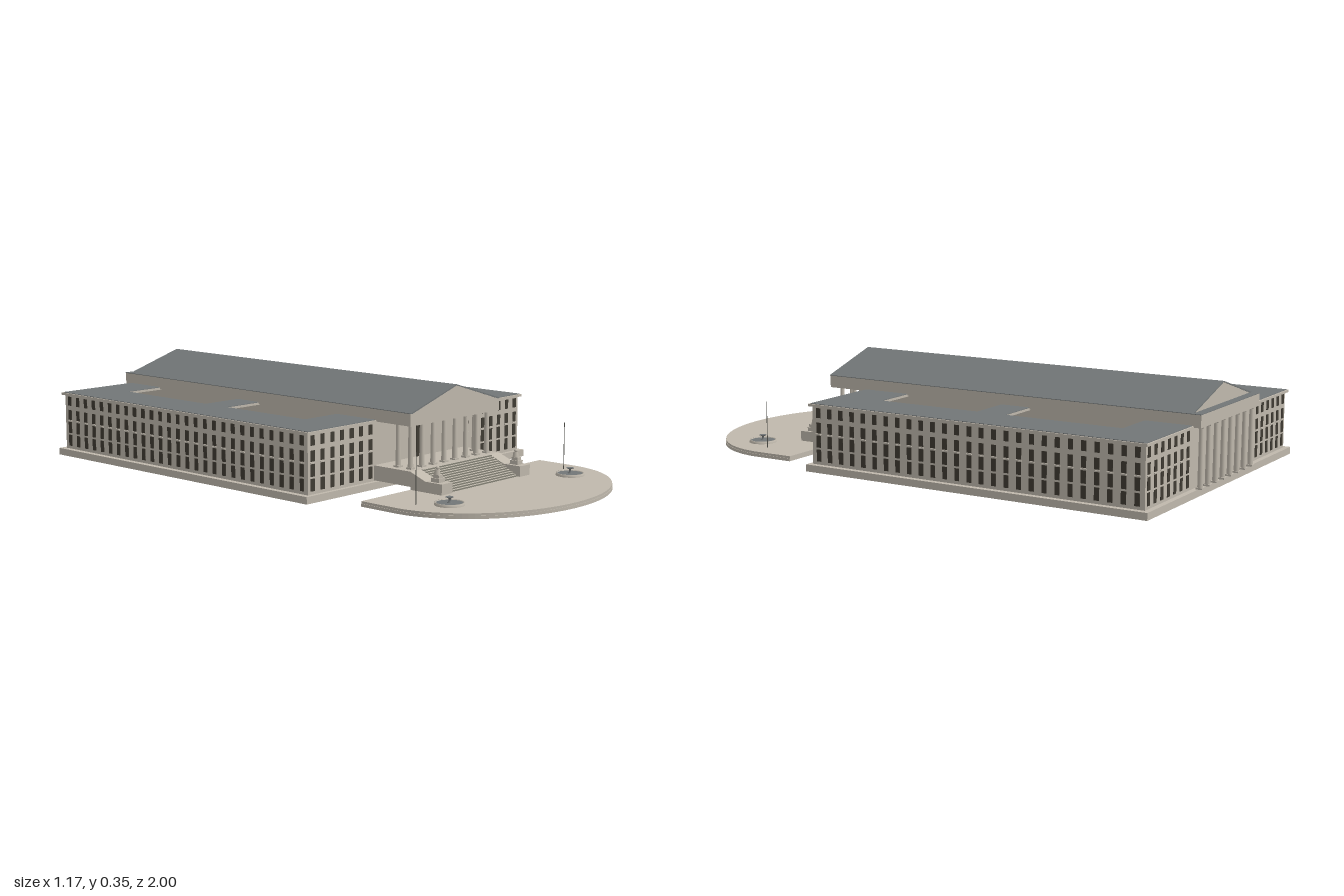
import * as THREE from 'three';
import { mergeGeometries } from 'three/addons/utils/BufferGeometryUtils.js';

const mat = (name, color) => {
  const m = new THREE.MeshStandardMaterial({ color });
  m.name = name;
  return m;
};

export function createModel() {
  const group = new THREE.Group();
  const stone = mat('limestone', 0xbfb8ac);
  const slate = mat('slateRoof', 0x727677);
  const glass = mat('darkGlass', 0x3f3b33);
  const riser = mat('stairRiser', 0x858276);
  const metal = mat('poleMetal', 0x55554f);

  const add = (name, geo, material) => {
    const m = new THREE.Mesh(geo, material);
    m.name = name;
    group.add(m);
  };
  // Box given by its limits on each axis
  const block = (x0, x1, y0, y1, z0, z1) =>
    new THREE.BoxGeometry(x1 - x0, y1 - y0, z1 - z0)
      .translate((x0 + x1) / 2, (y0 + y1) / 2, (z0 + z1) / 2);
  // Plan shape (x, -z) raised from y0 to y1
  const raise = (shape, y0, y1) =>
    new THREE.ExtrudeGeometry(shape, { depth: y1 - y0, bevelEnabled: false, curveSegments: 32 })
      .rotateX(-Math.PI / 2).translate(0, y0, 0);
  const polygon = (pts) => new THREE.Shape(pts.map((p) => new THREE.Vector2(...p)));

  // Main block: a hollow on each side, roofed except for two court openings
  const courts = [[-0.8, -0.365], [-0.255, 0.135]];
  const hollow = [[-0.95, 0.295]];
  const courtIn = 0.23, courtOut = 0.395;
  const corners = (x0, x1, z0, z1) => // counter-clockwise
    [[x0, -z1], [x1, -z1], [x1, -z0], [x0, -z0]].map((p) => new THREE.Vector2(...p));
  const plan = (grow, openings) => {
    const s = new THREE.Shape(corners(-0.562 - grow, 0.562 + grow, -0.965 - grow, 0.31 + grow));
    for (const [z0, z1] of openings) {
      s.holes.push(new THREE.Path(corners(courtIn, courtOut, z0, z1).reverse()));
      s.holes.push(new THREE.Path(corners(-courtOut, -courtIn, z0, z1).reverse()));
    }
    return s;
  };
  add('plinth', block(-0.583, 0.583, 0, 0.025, -0.984, 0.325), stone);
  add('walls', raise(plan(0, hollow), 0.025, 0.228), stone);
  add('cornice', raise(plan(0.01, courts), 0.228, 0.2365), stone);
  add('flatRoof', raise(plan(0.004, courts), 0.2365, 0.2385), slate);
  for (const s of [-1, 1]) for (const [z0, z1] of courts) {
    const x = s * (courtIn + courtOut) / 2;
    add('courtFloor', block(x - 0.082, x + 0.082, 0.025, 0.028, z0, z1), slate);
  }

  // Windows: four rows on each wall, with hoods above the third row
  const panes = [], hoods = [];
  const rows = [[0.206, 0.034], [0.154, 0.037], [0.106, 0.042], [0.057, 0.042]];
  const pitch = 0.047;
  const hoodRow = (x, z, angle, count) => {
    for (let i = 0; i < count; i++) {
      const u = (i - (count - 1) / 2) * pitch;
      hoods.push(block(u - 0.011, u + 0.011, 0.13, 0.133, -0.002, 0.004)
        .rotateY(angle).translate(x, 0, z));
    }
  };
  const wall = (x, z, angle, count) => {
    hoodRow(x, z, angle, count);
    for (let i = 0; i < count; i++) {
      const u = (i - (count - 1) / 2) * pitch;
      for (const [y, h] of rows)
        panes.push(block(u - 0.009, u + 0.009, y - h / 2, y + h / 2, -0.002, 0.002)
          .rotateY(angle).translate(x, 0, z));
    }
  };
  for (const s of [-1, 1]) {
    wall(s * 0.399, 0.31, 0, 7);
    wall(s * 0.399, -0.965, Math.PI, 7);
    wall(s * 0.562, -0.3275, s * Math.PI / 2, 27);
    for (const [z0, z1] of courts) {
      const z = (z0 + z1) / 2, count = Math.floor((z1 - z0) / pitch);
      wall(s * courtOut, z, -s * Math.PI / 2, count);
      hoodRow(s * courtIn, z, s * Math.PI / 2, count);
    }
  }
  add('windows', mergeGeometries(panes), glass);
  add('windowHoods', mergeGeometries(hoods), stone);
  add('frontDoor', block(-0.021, 0.021, 0.08, 0.2, 0.308, 0.313), glass);

  // Central entablature, gable and pitched roof
  add('entablature', block(-0.238, 0.238, 0.232, 0.275, -1, 0.473), stone);
  add('rearLedge', block(-0.24, 0.24, 0.275, 0.277, -1, -0.968), slate);
  const gable = polygon([[-0.238, 0.275], [0.238, 0.275], [0, 0.347]]);
  add('gable', new THREE.ExtrudeGeometry(gable, { depth: 1.443, bevelEnabled: false })
    .translate(0, 0, -0.969), stone);
  const skin = polygon([[-0.24, 0.275], [-0.23, 0.275], [0, 0.346], [0.23, 0.275],
    [0.24, 0.275], [0.24, 0.277], [0, 0.35], [-0.24, 0.277]]);
  add('pitchedRoof', new THREE.ExtrudeGeometry(skin, { depth: 1.446, bevelEnabled: false })
    .translate(0, 0, -0.971), slate);

  // Columns with square base and capital
  const column = (x, z, y0, y1) => {
    const shaft = new THREE.CylinderGeometry(0.0075, 0.0095, y1 - y0, 16)
      .translate(0, (y0 + y1) / 2, 0);
    const r = 0.011;
    const geo = mergeGeometries([shaft, block(-r, r, y0, y0 + 0.006, -r, r),
      block(-r, r, y1 - 0.006, y1, -r, r)]);
    add('column', geo.translate(x, 0, z), stone);
  };
  for (let i = 0; i < 8; i++) {
    const x = (i - 3.5) * 0.0586;
    column(x, 0.445, 0.08, 0.233);
    column(x, -0.987, 0.025, 0.233);
  }
  for (const s of [-1, 1]) column(s * 0.205, 0.39, 0.08, 0.233);

  // Portico floor and front stairs
  add('porticoFloor', block(-0.24, 0.24, 0.028, 0.08, 0.3, 0.475), stone);
  const count = 12, rise = 0.062 / count, tread = 0.125 / count;
  for (let i = 0; i < count; i++) {
    const y0 = 0.018 + i * rise;
    add('stairStep', block(-0.186, 0.186, y0, y0 + rise, 0.475, 0.6 - i * tread),
      [stone, stone, stone, stone, riser, stone]);
  }

  // Stair cheeks with seated statues
  const cheek = polygon([[-0.475, 0.015], [-0.612, 0.015], [-0.612, 0.055],
    [-0.54, 0.055], [-0.475, 0.08]]);
  for (const s of [-1, 1]) {
    add('stairCheek', new THREE.ExtrudeGeometry(cheek, { depth: 0.055, bevelEnabled: false })
      .rotateY(Math.PI / 2).translate(s * 0.2125 - 0.0275, 0, 0), stone);
    const statue = mergeGeometries([
      block(-0.015, 0.015, 0, 0.014, -0.016, 0.018),
      block(-0.011, 0.011, 0.014, 0.025, -0.011, 0.014),
      new THREE.CylinderGeometry(0.008, 0.011, 0.018, 12).translate(0, 0.034, -0.002),
      new THREE.SphereGeometry(0.0065, 12, 8).translate(0, 0.047, -0.001),
    ]);
    add('statue', statue.translate(s * 0.213, 0.055, 0.572), stone);
  }

  // Rounded plaza in two layers
  const plaza = (inset) => {
    const s = new THREE.Shape();
    const rx = 0.485 - inset, rz = 0.38 - inset;
    s.moveTo(rx, -0.475);
    s.lineTo(-rx, -0.475);
    s.lineTo(-rx, -0.62);
    s.absellipse(0, -0.62, rx, rz, Math.PI, Math.PI * 2, false);
    s.closePath();
    return s;
  };
  add('plazaBase', raise(plaza(0), 0, 0.01), stone);
  add('plazaPaving', raise(plaza(0.002), 0.01, 0.018), stone);

  // Fountains and poles
  const lathe = (pts) => new THREE.LatheGeometry(pts.map((p) => new THREE.Vector2(...p)), 32);
  const rim = [[0.05, 0], [0.049, 0.009], [0.045, 0.009], [0.044, 0.004]];
  const jet = [[0.01, 0], [0.004, 0.005], [0.004, 0.015], [0.013, 0.019], [0.012, 0.021], [0, 0.019]];
  for (const s of [-1, 1]) {
    add('fountainRim', lathe(rim).translate(s * 0.33, 0.018, 0.72), stone);
    add('fountainWater', new THREE.CylinderGeometry(0.0455, 0.0455, 0.007, 32)
      .translate(s * 0.33, 0.0215, 0.72), slate);
    add('fountainBowl', lathe(jet).translate(s * 0.33, 0.024, 0.72), slate);
    add('pole', new THREE.CylinderGeometry(0.001, 0.0015, 0.17, 8)
      .translate(s * 0.403, 0.103, 0.64), metal);
  }
  return group;
}
